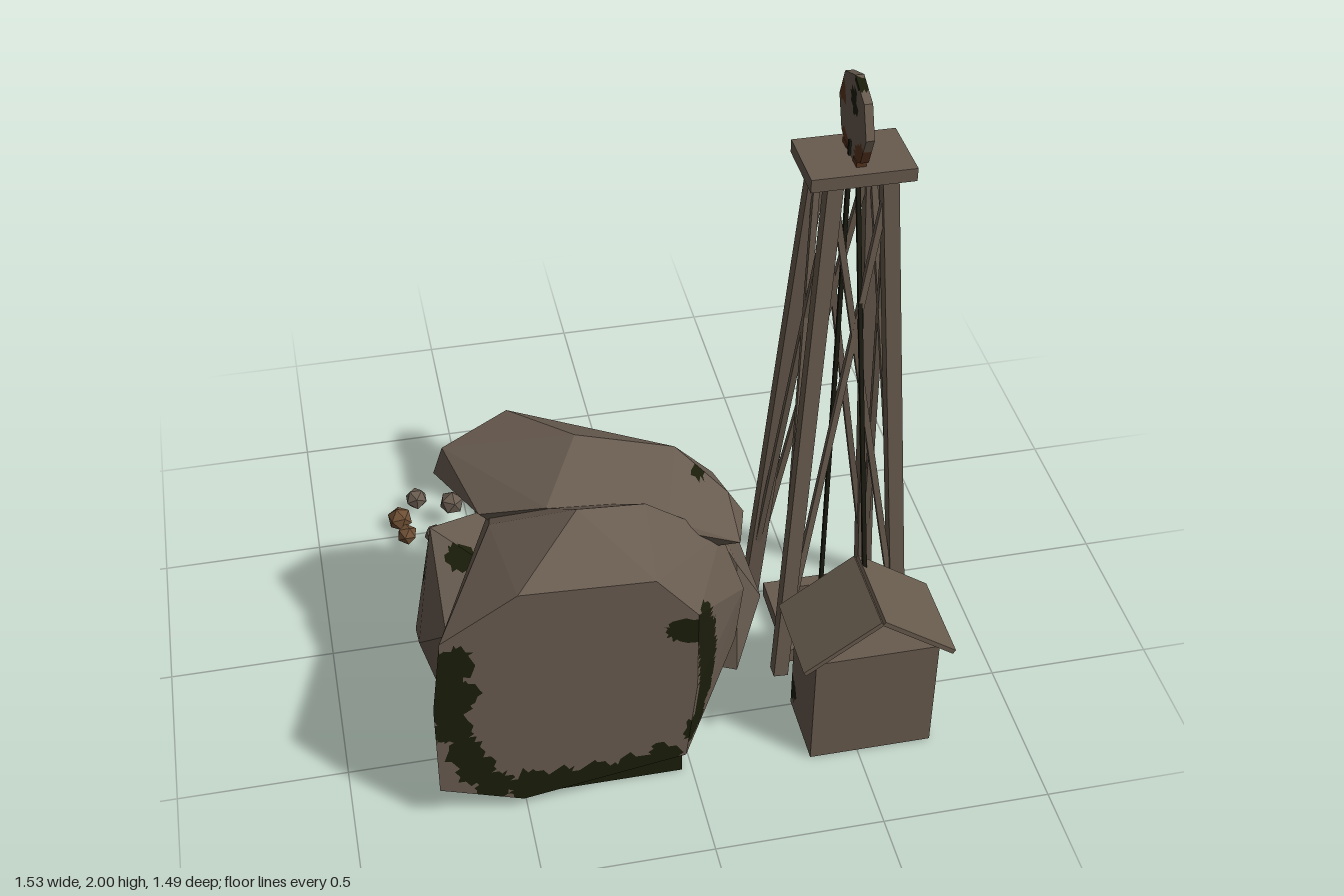
import * as THREE from 'three';
import { ConvexGeometry } from 'three/addons/geometries/ConvexGeometry.js';

const mat = (name, color) => {
  const m = new THREE.MeshStandardMaterial({ color, flatShading: true });
  m.name = name;
  return m;
};

export function createModel() {
  const model = new THREE.Group();
  model.name = 'oldMine';
  const rock = mat('rock', 0x695c50);
  const wood = mat('weathered wood', 0x685b4e);
  const rust = mat('rust', 0x56331d);
  const tan = mat('rusty ore', 0x6d4e34);
  const moss = mat('dark moss', 0x1b1d0a);
  const cable = mat('dark cable', 0x1a1a10);
  const V = (p) => new THREE.Vector3(...p);

  const add = (name, geo, material, parent = model) => {
    const mesh = new THREE.Mesh(geo, material);
    mesh.name = name;
    parent.add(mesh);
    return mesh;
  };
  const group = (name) => {
    const g = new THREE.Group();
    g.name = name;
    model.add(g);
    return g;
  };
  // Box given by its low and high corners
  const box = (name, a, b, material, parent) => {
    const mesh = add(name, new THREE.BoxGeometry(b[0] - a[0], b[1] - a[1], b[2] - a[2]), material, parent);
    mesh.position.set((a[0] + b[0]) / 2, (a[1] + b[1]) / 2, (a[2] + b[2]) / 2);
    return mesh;
  };
  // Square beam between two points, aimed before it joins its parent
  const beam = (name, a, b, t, material, parent) => {
    const A = V(a), B = V(b);
    const mesh = new THREE.Mesh(new THREE.BoxGeometry(t, t, A.distanceTo(B)), material);
    mesh.name = name;
    mesh.up.set(0, 0, 1);
    mesh.position.copy(A).add(B).multiplyScalar(0.5);
    mesh.lookAt(B);
    parent.add(mesh);
  };

  // Splits faces into small triangles and paints those inside blobs [x, y, z, radius]
  const paint = (geo, base, layers) => {
    const p = (geo.index ? geo.toNonIndexed() : geo).attributes.position;
    const lists = [[], ...layers.map(() => [])];
    const split = (a, b, c) => {
      const e = [[a, b, c], [b, c, a], [c, a, b]].sort((s, t) => t[0].distanceTo(t[1]) - s[0].distanceTo(s[1]))[0];
      if (e[0].distanceTo(e[1]) > 0.025) {
        const m = e[0].clone().lerp(e[1], 0.5);
        split(e[0], m, e[2]);
        split(m, e[1], e[2]);
        return;
      }
      const q = a.clone().add(b).add(c).divideScalar(3);
      const wave = 1 + 0.15 * Math.sin(q.x * 61 + q.y * 47) * Math.cos(q.z * 53 + q.y * 29);
      const hit = layers.findIndex((l) => l.blobs.some((o) => Math.hypot(q.x - o[0], q.y - o[1], q.z - o[2]) < o[3] * wave));
      for (const v of [a, b, c]) lists[hit + 1].push(v.x, v.y, v.z);
    };
    for (let i = 0; i < p.count; i += 3) {
      split(...[0, 1, 2].map((k) => new THREE.Vector3().fromBufferAttribute(p, i + k)));
    }
    const out = new THREE.BufferGeometry();
    out.setAttribute('position', new THREE.Float32BufferAttribute(lists.flat(), 3));
    let start = 0;
    lists.forEach((l, i) => {
      out.addGroup(start, l.length / 3, i);
      start += l.length / 3;
    });
    out.computeVertexNormals();
    return [out, [base, ...layers.map((l) => l.material)]];
  };
  const boulder = (name, points, blobs) =>
    add(name, ...paint(new ConvexGeometry(points.map(V)), rock, [{ material: moss, blobs }]));

  // Rock mass
  boulder('frontRock', [
    [-0.75, 0.13, 0.74], [-0.75, 0.46, 0.74], [-0.72, 0.71, 0.74], [-0.5, 0.85, 0.74], [-0.12, 0.83, 0.74],
    [0.0, 0.68, 0.74], [0.0, 0.4, 0.74], [-0.03, 0.12, 0.74], [-0.51, 0.04, 0.74], [-0.7, 0.4, 0.55],
    [-0.53, 0.82, 0.41], [-0.3, 0.94, 0.53], [-0.1, 0.89, 0.49], [0.19, 0.52, 0.5], [0.18, 0.28, 0.46],
    [0.13, 0.7, 0.45], [0.08, 0.15, 0.5], [-0.6, 0.3, 0.3], [-0.5, 0.7, 0.2], [0.1, 0.5, 0.22],
    [0.0, 0.08, 0.27], [-0.5, 0.05, 0.3], [-0.26, 0.45, 0.14],
  ], [
    [-0.7, 0.62, 0.74, 0.07], [-0.71, 0.5, 0.74, 0.085], [-0.7, 0.38, 0.74, 0.06], [-0.67, 0.28, 0.74, 0.055],
    [-0.64, 0.19, 0.74, 0.06], [-0.59, 0.12, 0.74, 0.06], [-0.48, 0.08, 0.74, 0.075], [-0.4, 0.08, 0.74, 0.065],
    [-0.3, 0.08, 0.74, 0.065], [-0.2, 0.09, 0.74, 0.06], [-0.1, 0.12, 0.74, 0.06], [-0.05, 0.63, 0.74, 0.045],
    [0.03, 0.62, 0.72, 0.06], [0.05, 0.54, 0.7, 0.06], [0.05, 0.46, 0.69, 0.06], [0.05, 0.38, 0.69, 0.06],
    [0.04, 0.3, 0.69, 0.06], [0.01, 0.22, 0.7, 0.06], [0.17, 0.47, 0.3, 0.07],
  ]);
  boulder('topRock', [
    [-0.6, 0.7, -0.07], [-0.365, 0.75, -0.05], [-0.02, 0.72, 0.06], [0.15, 0.76, 0.25], [0.21, 0.72, 0.39],
    [0.17, 0.72, 0.52], [-0.03, 0.8, 0.47], [-0.37, 0.87, 0.43], [-0.55, 0.8, 0.34], [-0.65, 0.77, 0.1],
    [-0.255, 0.97, 0.25], [0.025, 0.92, 0.3], [-0.62, 0.86, 0.1], [-0.42, 0.92, 0.04], [0.16, 0.81, 0.4],
    [-0.55, 0.61, 0.0], [-0.2, 0.6, 0.1], [0.14, 0.64, 0.4], [-0.3, 0.52, 0.3],
  ], [[-0.18, 0.7, 0.02, 0.06], [-0.57, 0.66, -0.03, 0.04], [0.08, 0.86, 0.36, 0.018]]);
  boulder('rightRock', [
    [0.24, 0.45, 0.07], [0.295, 0.29, 0.31], [0.2, 0.03, 0.2], [0.2, 0.5, 0.38], [0.14, 0.65, 0.22],
    [0.0, 0.42, 0.05], [0.02, 0.12, 0.1], [0.05, 0.13, 0.38], [0.2, 0.1, 0.42], [0.1, 0.68, 0.3],
    [-0.17, 0.33, 0.1], [-0.12, 0.12, 0.14], [-0.08, 0.55, 0.14],
  ], [[0.22, 0.52, 0.17, 0.045], [0.05, 0.13, 0.12, 0.045]]);
  boulder('leftRock', [
    [-0.75, 0.3, 0.25], [-0.75, 0.35, 0.36], [-0.68, 0.65, 0.2], [-0.7, 0.1, 0.3], [-0.6, 0.03, 0.1],
    [-0.52, 0.3, 0.03], [-0.5, 0.6, 0.1], [-0.63, 0.5, 0.06], [-0.5, 0.05, 0.4], [-0.45, 0.6, 0.45],
    [-0.68, 0.5, 0.5], [-0.42, 0.25, 0.12],
  ], [[-0.61, 0.62, 0.31, 0.045], [-0.71, 0.52, 0.19, 0.06], [-0.64, 0.42, 0.08, 0.035]]);

  // Dark tunnel and timber portal
  box('tunnel', [-0.505, 0, 0.2], [-0.03, 0.3, 0.69], moss);
  box('tunnelFloor', [-0.505, 0, 0.0], [-0.03, 0.012, 0.2], moss);
  const portal = group('portal');
  for (const s of [-1, 1]) {
    const x = -0.26 + s * 0.235;
    box('portalPost', [x - 0.025, 0.2, 0.02], [x + 0.025, 0.59, 0.07], wood, portal);
    box('portalPostFoot', [x - 0.025, 0, 0.02], [x + 0.025, 0.2, 0.07], s > 0 ? moss : wood, portal);
    beam('portalBrace', [x, 0.45, 0.045], [x - s * 0.12, 0.59, 0.045], 0.03, wood, portal);
  }
  box('portalLintel', [-0.535, 0.58, 0.01], [0.015, 0.64, 0.09], wood, portal);
  box('lintelPlank', [-0.46, 0.6, 0.0], [-0.035, 0.63, 0.012], wood, portal);

  // Headframe tower, centred on its own axis
  const tower = group('headframe');
  tower.position.set(0.542, 0, 0.17);
  const lo = 0.19, hi = 0.077;
  const corners = [[1, 1], [1, -1], [-1, -1], [-1, 1]];
  corners.forEach(([x, z], i) => {
    const [nx, nz] = corners[(i + 1) % 4];
    beam('leg', [x * lo, 0.002, z * lo], [x * hi, 1.72, z * hi], 0.045, wood, tower);
    beam('crossBrace', [x * lo, 0.06, z * lo], [nx * hi, 1.7, nz * hi], 0.018, wood, tower);
    beam('crossBrace', [nx * lo, 0.06, nz * lo], [x * hi, 1.7, z * hi], 0.018, wood, tower);
  });
  for (const s of [-1, 1]) {
    box('baseBeam', [-0.155, 0, s * 0.135 - 0.02], [0.155, 0.05, s * 0.135 + 0.02], wood, tower);
    box('baseBeam', [s * 0.135 - 0.02, 0, -0.115], [s * 0.135 + 0.02, 0.05, 0.115], wood, tower);
    box('bearing', [-0.014, 1.755, s * 0.05 - 0.018], [0.014, 1.77, s * 0.05 + 0.018], rust, tower);
  }
  box('shaftMouth', [-0.115, 0.002, -0.115], [0.115, 0.012, 0.115], moss, tower);
  box('platform', [-0.148, 1.715, -0.105], [0.148, 1.755, 0.105], wood, tower);

  // Winding wheel with rust and grime
  const disc = new THREE.CylinderGeometry(0.128, 0.128, 0.024, 8).rotateZ(Math.PI / 2);
  const wheel = add('windingWheel', ...paint(disc, wood, [
    { material: moss, blobs: [[0, 0.06, 0.0, 0.03], [0, 0.04, 0.02, 0.028], [0, 0.125, 0.035, 0.028]] },
    { material: rust, blobs: [[0, 0.03, -0.11, 0.045], [0, -0.11, -0.05, 0.04], [0, -0.09, 0.09, 0.05]] },
  ]), tower);
  wheel.position.set(0, 1.872, 0);
  beam('hoistCable', [-0.012, 0.01, 0], [-0.012, 1.8, 0], 0.012, cable, tower);
  beam('winchCable', [0.012, 0.5, 0.335], [0.012, 1.75, -0.01], 0.012, cable, tower);

  // Winch shed with an open gable
  const shed = group('winchShed');
  const walls = add('shedWalls', ...paint(new THREE.BoxGeometry(0.37, 0.39, 0.23), wood, [
    { material: moss, blobs: [[-0.17, -0.12, -0.115, 0.05]] },
  ]), shed);
  walls.position.set(0.54, 0.195, 0.605);
  for (const s of [-1, 1]) {
    const roof = add('roofSlope', new THREE.BoxGeometry(0.272, 0.015, 0.285), wood, shed);
    roof.position.set(0.54 + s * 0.113, 0.457, 0.5975);
    roof.rotation.z = -s * 0.617;
  }

  // Track with stained sleeper ends
  const track = group('track');
  for (const x of [-0.335, -0.18]) box('rail', [x - 0.006, 0.018, -0.745], [x + 0.006, 0.034, 0.12], rust, track);
  [[-0.72, wood, wood], [-0.413, rust, moss], [-0.107, rust, wood]].forEach(([z, left, right]) => {
    const cuts = [-0.388, -0.3, -0.17, -0.128];
    [left, wood, right].forEach((m, i) =>
      box('sleeper', [cuts[i], 0, z - 0.015], [cuts[i + 1], 0.02, z + 0.015], m, track));
  });

  // Ore cart
  const cart = group('oreCart');
  box('cartBed', [-0.36, 0.08, -0.515], [-0.155, 0.165, -0.24], rust, cart);
  for (const x of [-0.365, -0.162]) box('cartSide', [x, 0.08, -0.52], [x + 0.012, 0.205, -0.235], rust, cart);
  for (const z of [-0.52, -0.247]) box('cartEnd', [-0.353, 0.08, z], [-0.162, 0.205, z + 0.012], rust, cart);
  for (const x of [-0.335, -0.18]) {
    for (const z of [-0.285, -0.47]) {
      const w = add('cartWheel', new THREE.CylinderGeometry(0.033, 0.033, 0.02, 6).rotateZ(Math.PI / 2), rust, cart);
      w.position.set(x, 0.052, z);
    }
  }

  // Ore lumps: x, y, z, radius, material
  const ore = group('ore');
  [
    [-0.66, 0.055, -0.615, 0.038, rock], [-0.725, 0.042, -0.54, 0.042, tan], [-0.55, 0.1, -0.52, 0.042, rock],
    [-0.71, 0.04, -0.46, 0.035, tan], [-0.62, 0.04, -0.44, 0.036, rock],
    [-0.27, 0.215, -0.35, 0.036, rock], [-0.195, 0.215, -0.375, 0.036, rock],
    [-0.27, 0.21, -0.305, 0.034, tan],
  ].forEach(([x, y, z, r, m], i) => {
    const lump = add('oreLump', new THREE.IcosahedronGeometry(r, 0), m, ore);
    lump.position.set(x, y, z);
    lump.rotation.set(i * 1.3, i * 0.7, i * 2.1);
  });

  return model;
}
